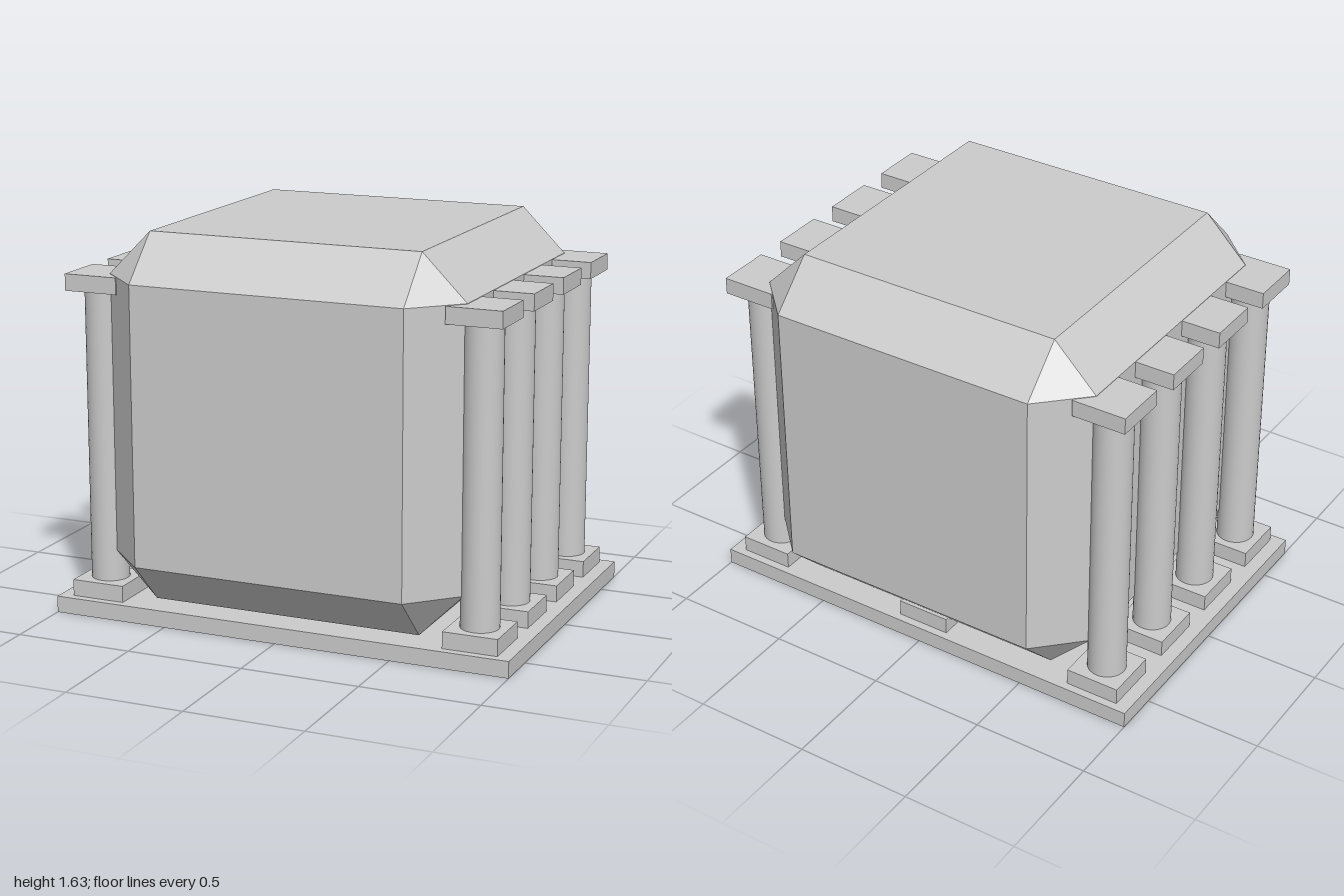
import * as THREE from 'three';
import { ConvexGeometry } from 'three/addons/geometries/ConvexGeometry.js';

const smooth = new THREE.MeshStandardMaterial({ color: 0xcccccc });
const flat = new THREE.MeshStandardMaterial({ color: 0xcccccc, flatShading: true });

function addMesh(parent, name, geometry, y, material = flat) {
  const mesh = new THREE.Mesh(geometry, material);
  mesh.name = name;
  mesh.position.y = y;
  parent.add(mesh);
  return mesh;
}

// Cube with every edge bevelled and every corner cut to a triangle
function chamferedCube(half, inner) {
  const points = [];
  for (const x of [-1, 1]) for (const y of [-1, 1]) for (const z of [-1, 1]) {
    points.push(
      new THREE.Vector3(x * half, y * inner, z * inner),
      new THREE.Vector3(x * inner, y * half, z * inner),
      new THREE.Vector3(x * inner, y * inner, z * half));
  }
  return new ConvexGeometry(points);
}

const blockGeometry = new THREE.BoxGeometry(0.232, 0.07, 0.232);
const shaftGeometry = new THREE.CylinderGeometry(0.08, 0.08, 1.23, 32);

// Round shaft between two square blocks
function createColumn(name, x, z) {
  const column = new THREE.Group();
  column.name = name;
  addMesh(column, 'columnBase', blockGeometry, 0.105);
  addMesh(column, 'columnShaft', shaftGeometry, 0.755, smooth);
  addMesh(column, 'columnCapital', blockGeometry, 1.405);
  column.position.set(x, 0, z);
  return column;
}

export function createModel() {
  const model = new THREE.Group();
  model.name = 'columnedBlock';

  // Ground slab and main body
  addMesh(model, 'floorSlab', new THREE.BoxGeometry(2, 0.07, 1.382), 0.035);
  addMesh(model, 'chamferedBody', chamferedCube(0.772, 0.585), 0.857);

  // Four columns along each side
  for (const [side, x] of [['left', 0.825], ['right', -0.825]]) {
    for (let i = 0; i < 4; i++) {
      model.add(createColumn(side + 'Column' + (i + 1), x, 0.54 - i * 0.36));
    }
  }

  // Middle column of the rear row, mostly inside the body
  model.add(createColumn('rearMiddleColumn', 0, -0.54));

  return model;
}
